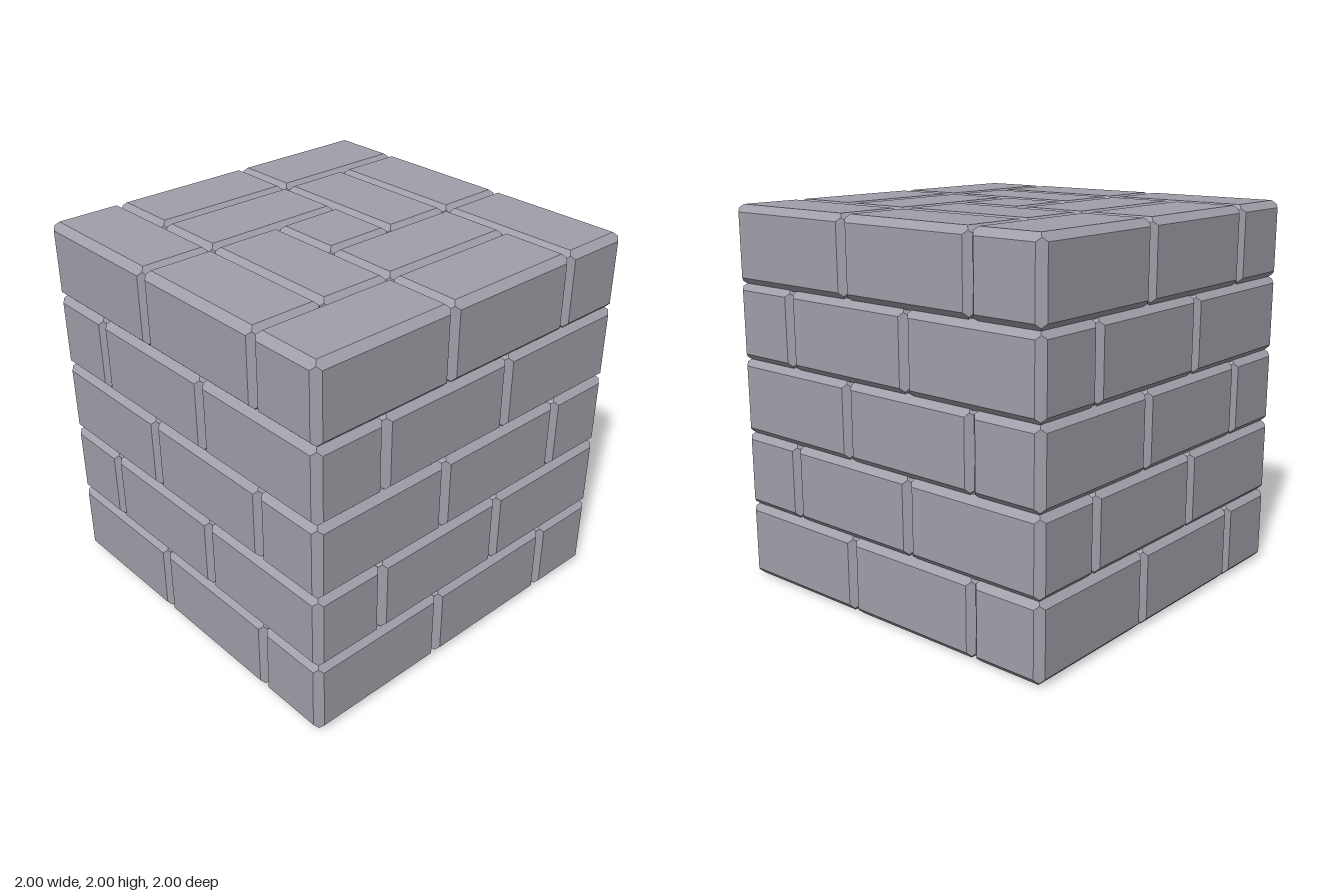
import * as THREE from 'three';
import { ConvexGeometry } from 'three/addons/geometries/ConvexGeometry.js';

const PITCH = 0.398;    // spacing of the brick grid
const OVERLAP = 0.005;  // bricks sink slightly into each other
const BEVEL = 0.037;

// Box with every edge chamfered; the three chamfers of a corner meet in a point.
function bevelledBrick(w, h, d) {
  const points = [];
  for (const sx of [-1, 1]) for (const sy of [-1, 1]) for (const sz of [-1, 1]) {
    const addPoint = (insets) => points.push(new THREE.Vector3(
      (w / 2 - insets[0]) * sx, (h / 2 - insets[1]) * sy, (d / 2 - insets[2]) * sz));
    addPoint([0, BEVEL, BEVEL]);
    addPoint([BEVEL, 0, BEVEL]);
    addPoint([BEVEL, BEVEL, 0]);
    addPoint([BEVEL / 2, BEVEL / 2, BEVEL / 2]);
  }
  return new ConvexGeometry(points);
}

// One quarter of the pinwheel, in grid cells: [column, row, columns, rows].
const QUARTER = [
  [-2.5, -2.5, 1, 2],
  [-2.5, -0.5, 1, 2],
  [-1.5, -0.5, 1, 2],
];

export function createModel() {
  const model = new THREE.Group();
  model.name = 'brickCube';
  const material = new THREE.MeshStandardMaterial({ color: 0xa0a0aa });

  const unit = PITCH + 2 * OVERLAP;
  const long = 2 * PITCH + 2 * OVERLAP;
  const longBrick = bevelledBrick(unit, unit, long);
  const centreBrick = bevelledBrick(unit, unit, unit);

  for (let layer = 0; layer < 5; layer++) {
    const course = new THREE.Group();
    course.name = `course${layer + 1}`;
    course.position.y = OVERLAP + (layer + 0.5) * PITCH;
    const flip = layer % 2 ? -1 : 1; // alternate courses are mirrored

    for (let turn = 0; turn < 4; turn++) {
      for (const [col, row, cols, rows] of QUARTER) {
        const brick = new THREE.Mesh(longBrick, material);
        brick.name = 'brick';
        brick.position.set((col + cols / 2) * PITCH, 0, (row + rows / 2) * PITCH);
        brick.position.applyAxisAngle(new THREE.Vector3(0, 1, 0), turn * Math.PI / 2);
        brick.position.x *= flip;
        brick.rotation.y = turn * Math.PI / 2;
        course.add(brick);
      }
    }

    const centre = new THREE.Mesh(centreBrick, material);
    centre.name = 'centreBrick';
    course.add(centre);
    model.add(course);
  }

  // Solid core, closing the underside flat but leaving the joints notched at its rim
  const core = new THREE.Mesh(new THREE.BoxGeometry(1.86, 1.93, 1.86), material);
  core.name = 'core';
  core.position.y = 0.965;
  model.add(core);

  return model;
}
